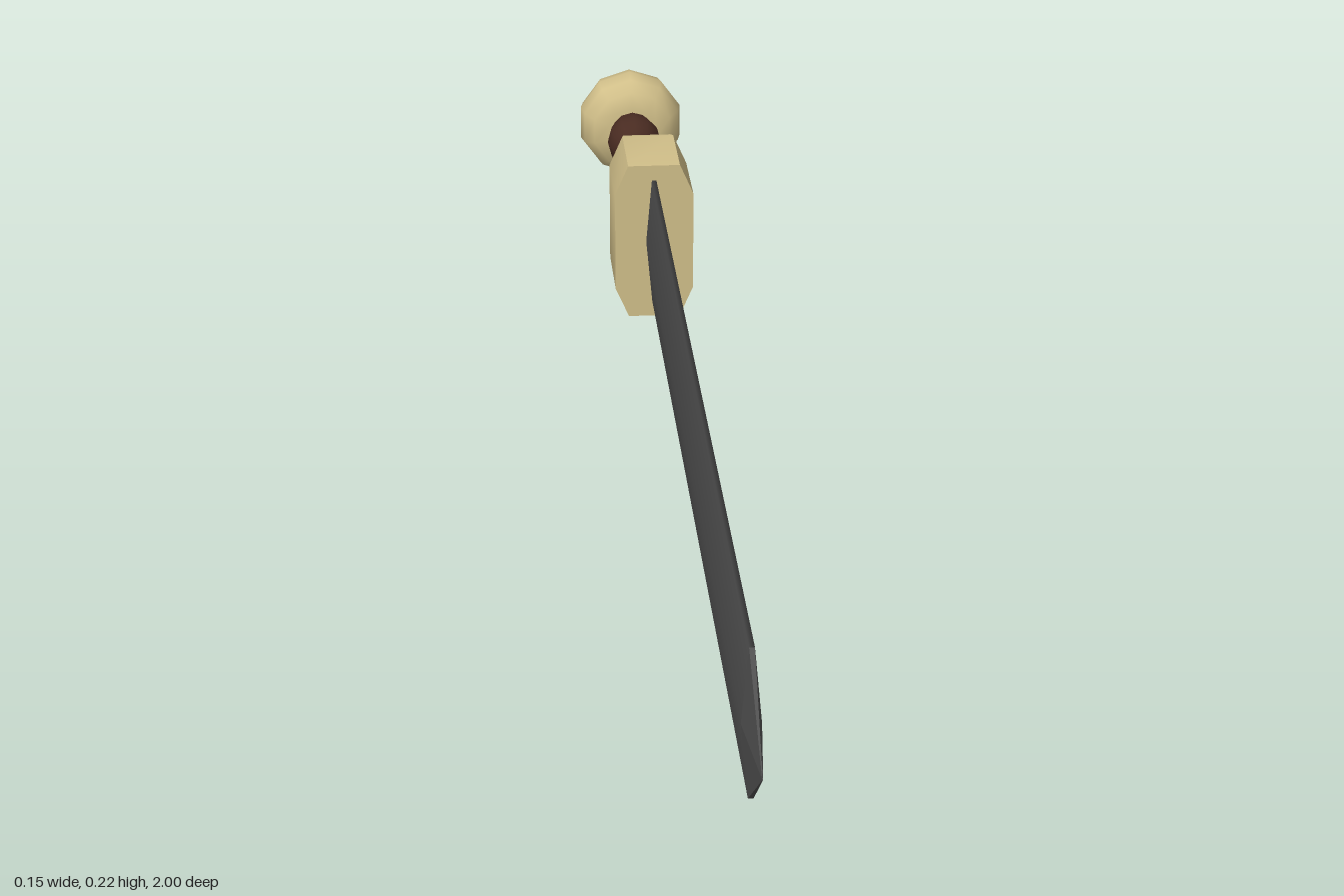
import * as THREE from 'three';
import { toCreasedNormals } from 'three/addons/utils/BufferGeometryUtils.js';

const AXIS_Y = 0.11;
const brass = new THREE.MeshStandardMaterial({ color: 0xd2c08a });
const wood = new THREE.MeshStandardMaterial({ color: 0x4a2c22 });
const steel = new THREE.MeshStandardMaterial({ color: 0x505050 });

// Skins a list of rings (each counter-clockwise seen from +z, ordered back to front) and caps both ends.
function loft(rings) {
  const n = rings[0].length;
  const index = [];
  for (let i = 0; i < rings.length - 1; i++) {
    for (let j = 0; j < n; j++) {
      const k = (j + 1) % n;
      const a = i * n + j, b = i * n + k, c = a + n, d = b + n;
      index.push(a, b, d, a, d, c);
    }
  }
  const last = (rings.length - 1) * n;
  for (let j = 1; j < n - 1; j++) {
    index.push(0, j + 1, j);
    index.push(last, last + j, last + j + 1);
  }
  const geometry = new THREE.BufferGeometry();
  geometry.setAttribute('position', new THREE.Float32BufferAttribute(rings.flat(2), 3));
  geometry.setIndex(index);
  geometry.computeVertexNormals();
  return geometry;
}

// Turned part along the sword axis; profile points are [radius, z], running backwards.
function turned(profile, sides) {
  const points = profile.map(([r, z]) => new THREE.Vector2(r, -z));
  return new THREE.LatheGeometry(points, sides).rotateX(-Math.PI / 2);
}

export function createModel() {
  const sword = new THREE.Group();
  sword.name = 'shortSword';
  const add = (name, geometry, material) => {
    const mesh = new THREE.Mesh(geometry, material);
    mesh.name = name;
    mesh.position.y = AXIS_Y;
    sword.add(mesh);
  };

  // Blade: flattened diamond section with narrow blunt edges
  const diamond = [[0.011, 0], [0.003, 0.088], [-0.003, 0.088], [-0.011, 0], [-0.003, -0.088], [0.003, -0.088]];
  const bladeRing = (z, sx = 1, sy = 1) => diamond.map(([x, y]) => [x * sx, y * sy, z]);
  add('blade', loft([bladeRing(-0.48), bladeRing(0.885)]), steel);

  // Point: tapers straight from the shoulders
  const point = loft([bladeRing(0.885), bladeRing(1, 0.05, 0.004)]);
  add('bladePoint', toCreasedNormals(point, 0.1), steel);

  // Guard: chamfered block, rounded off towards the grip
  const block = [[0.053, -0.068], [0.053, 0.068], [0.035, 0.109], [-0.035, 0.109],
    [-0.053, 0.068], [-0.053, -0.068], [-0.035, -0.109], [0.035, -0.109]];
  const guardSteps = [[-0.612, 0.016], [-0.607, 0.008], [-0.598, 0.003], [-0.583, 0], [-0.465, 0]];
  const guard = loft(guardSteps.map(([z, inset]) => block.map(([x, y]) =>
    [x - Math.sign(x) * inset * 0.8, y - Math.sign(y) * inset * 1.3, z])));
  add('guard', toCreasedNormals(guard, 0.9), brass);

  // Grip: three swells between narrow waists
  const grip = [];
  for (let i = 0; i <= 24; i++) {
    const t = i / 24;
    grip.push([0.034 - 0.0045 * Math.cos(t * Math.PI * 6), -0.605 - 0.305 * t]);
  }
  add('grip', turned(grip, 12), wood);

  // Pommel: flattened ball
  const pommel = [[0, -0.9], [0.036, -0.901], [0.058, -0.909], [0.072, -0.926], [0.0765, -0.95],
    [0.072, -0.974], [0.058, -0.991], [0.036, -0.999], [0, -1]];
  add('pommel', turned(pommel, 10), brass);

  return sword;
}
